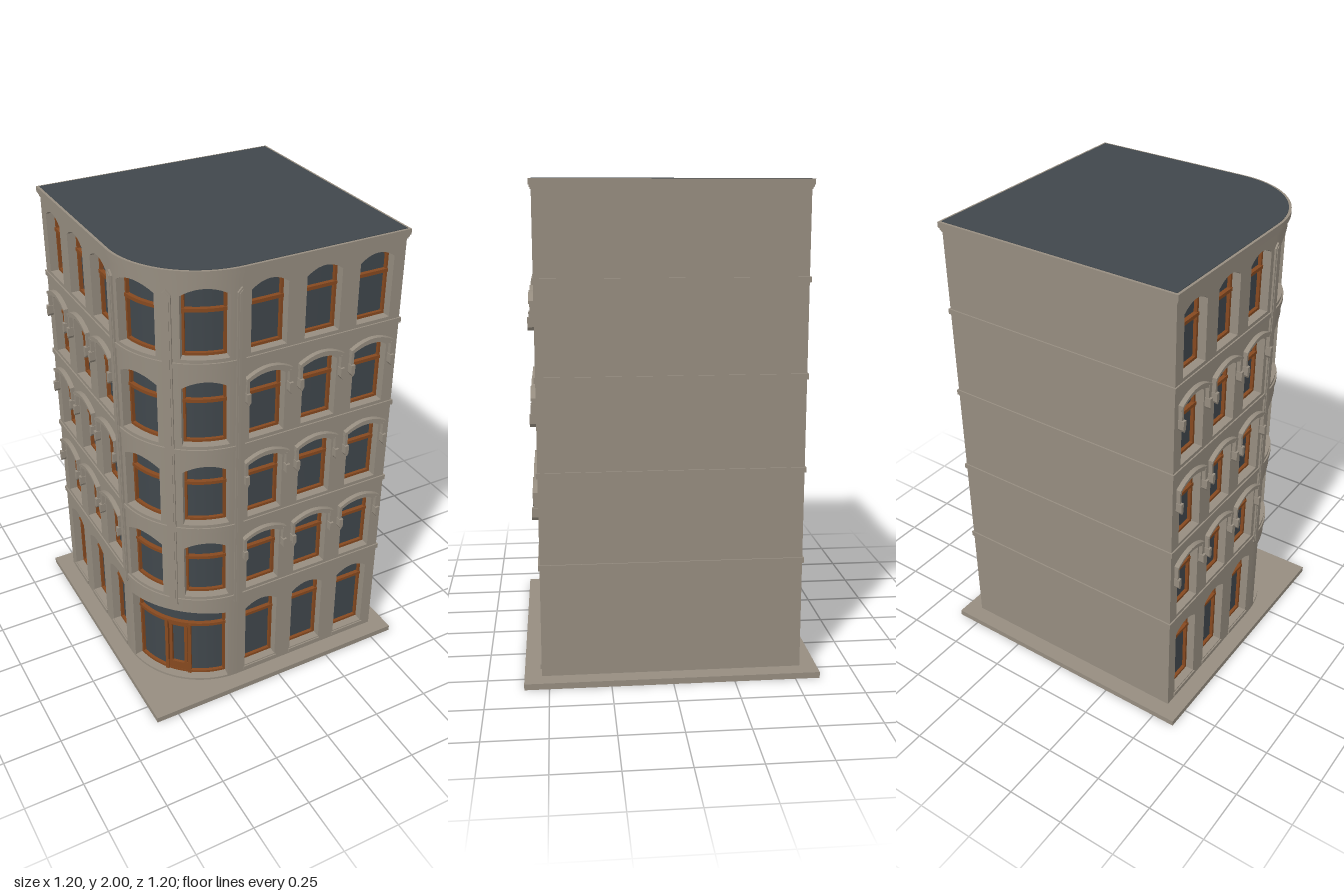
import * as THREE from 'three';
import { mergeGeometries, toCreasedNormals } from 'three/addons/utils/BufferGeometryUtils.js';

const W = 0.53, R = 0.36, C = W - R;      // half width, corner radius, corner centre
const ARC = R * Math.PI / 4;              // half the corner's arc length
const DEPTH = 0.05;                       // depth of the window recesses
const FLOORS = [0, 1, 2, 3].map((k) => 0.51 + 0.3775 * k); // upper window sills

// Facade coordinates: u runs along left wall, round corner, front wall; d is outward.
function place(u, y, d) {
  if (u > ARC) return [-C + u - ARC, y, W + d];
  if (u < -ARC) return [-W - d, y, C + u + ARC];
  const t = Math.PI / 4 - u / R;
  return [-C - (R + d) * Math.sin(t), y, C + (R + d) * Math.cos(t)];
}

// Solid strip of the facade; bottom and top may be functions of u.
function panel(u0, u1, bottom, top, d0, d1, n = 1) {
  const lo = typeof bottom === 'function' ? bottom : () => bottom;
  const hi = typeof top === 'function' ? top : () => top;
  const pos = [];
  const quad = (a, b, c, d) => pos.push(...a, ...b, ...c, ...a, ...c, ...d);
  for (let i = 0; i < n; i++) {
    const a = u0 + (u1 - u0) * i / n, b = u0 + (u1 - u0) * (i + 1) / n;
    const corners = (d) => [place(a, lo(a), d), place(b, lo(b), d), place(b, hi(b), d), place(a, hi(a), d)];
    const f = corners(d1), r = corners(d0);
    quad(f[0], f[1], f[2], f[3]);
    quad(r[1], r[0], r[3], r[2]);
    quad(f[3], f[2], r[2], r[3]);
    quad(r[0], r[1], f[1], f[0]);
    if (i === 0) quad(r[0], f[0], f[3], r[3]);
    if (i === n - 1) quad(f[1], r[1], r[2], f[2]);
  }
  const g = new THREE.BufferGeometry();
  g.setAttribute('position', new THREE.Float32BufferAttribute(pos, 3));
  g.computeVertexNormals();
  return g;
}

// Horizontal slab following the building outline, grown by d.
function storey(d, y0, y1) {
  const s = new THREE.Shape();
  const e = W + d;
  s.moveTo(e, -e);
  s.lineTo(e, e);
  s.lineTo(-e, e);
  s.lineTo(-e, -C);
  s.absarc(-C, -C, R + d, Math.PI, Math.PI * 1.5, false);
  const g = new THREE.ExtrudeGeometry(s, { depth: y1 - y0, bevelEnabled: false, curveSegments: 16 });
  return toCreasedNormals(g.rotateX(-Math.PI / 2).translate(0, y0, 0), 0.5);
}

const arch = (c, h, apex, rise) => (u) => apex - rise * ((u - c) / h) ** 2;

export function createModel() {
  const group = new THREE.Group();
  const mat = (name, color) => Object.assign(new THREE.MeshStandardMaterial({ color }), { name });
  const stone = mat('stone', 0x968d80);
  const slate = mat('slate', 0x40474c);
  const wood = mat('wood', 0x86491f);
  const add = (name, geo, material) => {
    const m = new THREE.Mesh(geo, material);
    m.name = name;
    group.add(m);
  };
  const addAll = (name, list, material) =>
    add(name, toCreasedNormals(mergeGeometries(list), 0.5), material);

  // Pavement, dark glazed core and the two blank walls
  add('pavement', new THREE.BoxGeometry(1.2, 0.025, 1.2).translate(0, 0.0125, 0), stone);
  add('glazing', storey(-DEPTH, 0.02, 1.96), slate);
  add('rightWall', new THREE.BoxGeometry(DEPTH, 1.95, 2 * W).translate(W - DEPTH / 2, 0.995, 0), stone);
  add('backWall', new THREE.BoxGeometry(2 * W, 1.95, DEPTH).translate(0, 0.995, -W + DEPTH / 2), stone);

  const walls = [], frames = [], hoods = [], sills = [], pilasters = [], door = [];

  // One bay of one floor: wall with an arched opening and its wooden frame
  function bay(u0, u1, y0, y1, o) {
    const { c, h, sill, apex, rise, n } = o;
    const curve = arch(c, h, apex, rise);
    const l = c - h, r = c + h, t = 0.011;
    walls.push(
      panel(u0, l, y0, y1, -DEPTH, 0, 4),
      panel(r, u1, y0, y1, -DEPTH, 0, 4),
      panel(l, r, y0, sill, -DEPTH, 0, n),
      panel(l, r, curve, y1, -DEPTH, 0, n));
    const f0 = -DEPTH - 0.002, f1 = -DEPTH + 0.014, mid = apex - 0.1;
    frames.push(
      panel(l, l + t, sill, curve, f0, f1),
      panel(r - t, r, sill, curve, f0, f1),
      panel(l, r, sill, sill + t, f0, f1, n),
      panel(l, r, (u) => curve(u) - t, curve, f0, f1, n),
      panel(l, r, mid - 0.007, mid + 0.007, f0, f1 + 0.004, n));
  }

  // Hood mould with a drop at each end
  function hood(c, sill) {
    const h = 0.1, top = arch(c, h, sill + 0.31, 0.032);
    hoods.push(
      panel(c - h, c + h, (u) => top(u) - 0.024, top, 0, 0.014, 10),
      panel(c - h, c + h, (u) => top(u) - 0.011, top, 0, 0.02, 10));
    for (const s of [-1, 1]) {
      const m = c + s * (h - 0.0075);
      const tip = (u) => sill + 0.165 + 1.5 * Math.abs(u - m);
      hoods.push(
        panel(m - 0.006, m + 0.006, sill + 0.2, sill + 0.27, 0, 0.016),
        panel(m - 0.0085, m + 0.0085, tip, sill + 0.215, 0, 0.025, 2));
    }
  }

  // Straight bays of the front, mirrored onto the left wall
  const toU = (x) => x + C + ARC;
  const edges = [-C, 0.056, 0.289, W].map(toU);
  const centres = [-0.06, 0.172, 0.405].map(toU);
  for (const s of [1, -1]) {
    centres.forEach((cu, i) => {
      const ends = [s * edges[i], s * edges[i + 1]].sort((a, b) => a - b);
      const c = s * cu, h = 0.077;
      bay(...ends, 0.02, 0.485, { c, h, sill: 0.06, apex: 0.422, rise: 0.03, n: 10 });
      sills.push(panel(c - 0.082, c + 0.082, 0.036, 0.055, 0, 0.006));
      FLOORS.forEach((y, k) => {
        bay(...ends, y - 0.025, k < 3 ? y + 0.3525 : 1.97,
          { c, h, sill: y, apex: y + 0.284, rise: 0.03, n: 10 });
        if (k < 3) hood(c, y);
      });
    });
    // Upper windows of the round corner
    const ends = s > 0 ? [0, ARC] : [-ARC, 0];
    FLOORS.forEach((y, k) => bay(...ends, y - 0.025, k < 3 ? y + 0.3525 : 1.97,
      { c: s * 0.14, h: 0.0925, sill: y, apex: y + 0.284, rise: 0.03, n: 10 }));
  }

  // Corner entrance: wide opening, door posts and side lights
  bay(-ARC, ARC, 0.02, 0.485, { c: 0, h: 0.2325, sill: 0.035, apex: 0.422, rise: 0.018, n: 20 });
  for (const s of [-1, 1]) {
    const p = s * 0.057;
    door.push(
      panel(p - 0.008, p + 0.008, 0.035, 0.325, -DEPTH, -0.03),
      panel(s * 0.038 - 0.007, s * 0.038 + 0.007, 0.05, 0.315, -DEPTH, -0.037));
  }
  door.push(
    panel(-0.05, 0.05, 0.04, 0.085, -DEPTH, -0.037, 4),
    panel(-0.05, 0.05, 0.3, 0.32, -DEPTH, -0.037, 4));

  // Pilasters with pointed ends on the round corner
  for (const c of [-ARC + 0.008, 0, ARC - 0.008]) {
    const point = (u) => 1.1 * Math.abs(u - c);
    pilasters.push(
      panel(c - 0.018, c + 0.018, (u) => 0.44 + point(u), (u) => 1.92 - point(u), -0.005, 0.008, 4),
      panel(c - 0.011, c + 0.011, (u) => 0.45 + point(u), (u) => 1.91 - point(u), 0, 0.011, 4));
  }

  addAll('facadeWalls', walls, stone);
  addAll('windowFrames', frames, wood);
  addAll('hoodMoulds', hoods, stone);
  addAll('groundSills', sills, stone);
  addAll('pilasters', pilasters, stone);
  addAll('entranceDoor', door, wood);

  // String courses, stepped cornice and roof
  for (const y of FLOORS) {
    add('stringCourse', storey(0.006, y - 0.036, y - 0.014), stone);
  }
  add('corniceLower', storey(0.004, 1.958, 1.968), stone);
  add('corniceMiddle', storey(0.007, 1.966, 1.977), stone);
  add('corniceTop', storey(0.011, 1.975, 1.998), stone);
  add('roof', storey(0, 1.99, 2), slate);
  return group;
}
